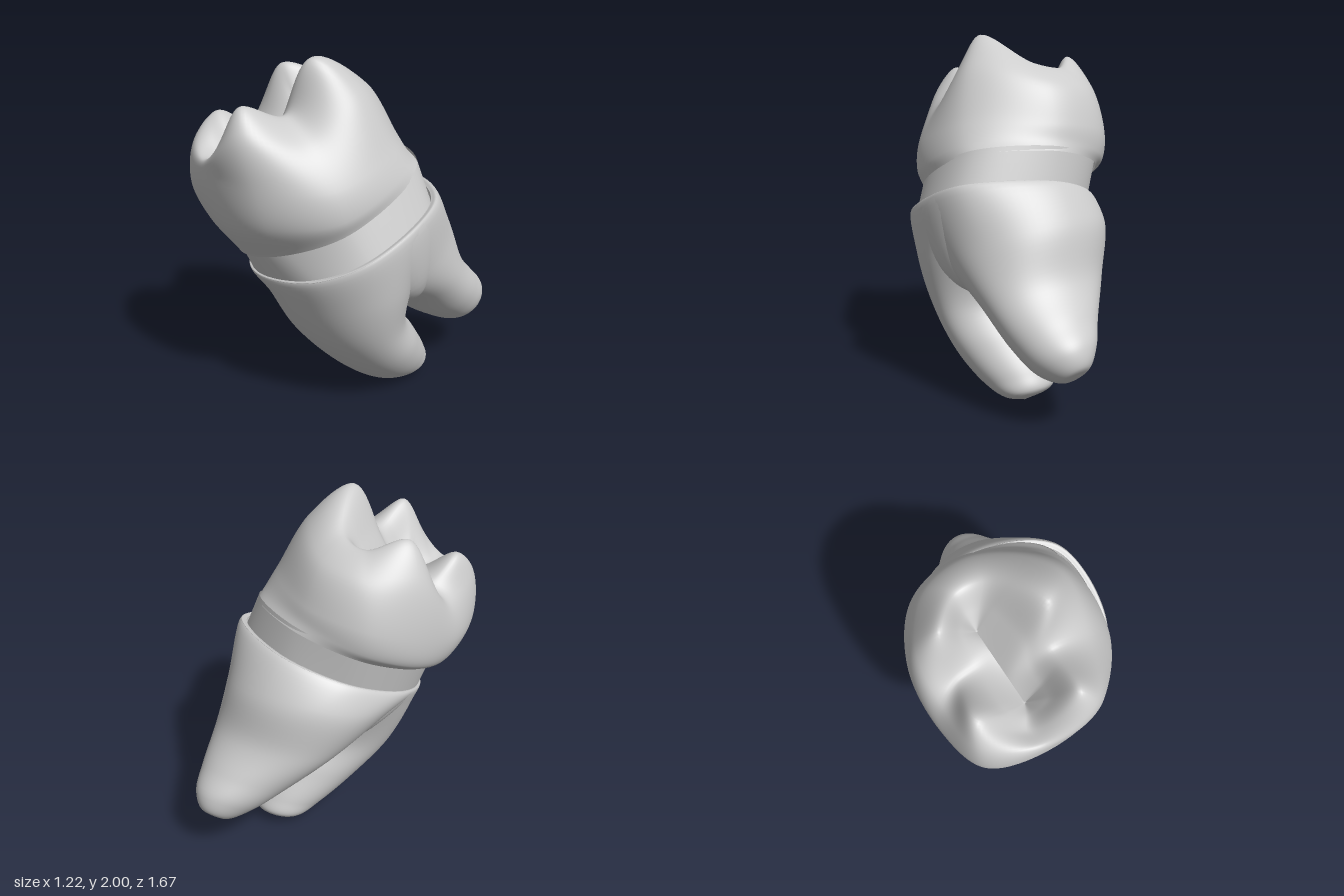
import * as THREE from 'three';
import { mergeVertices } from 'three/addons/utils/BufferGeometryUtils.js';

const V = (x, y, z) => new THREE.Vector3(x, y, z);
const AROUND = 126;

// Closed smooth ring through a few stations; all rings share the same station order:
// right groove, front right cusp, front ridge, front left cusp, left groove,
// back left cusp, back ridge, back shoulder, tall cusp
function ring(points) {
  const curve = new THREE.CatmullRomCurve3(points.map(p => V(...p)), true, 'centripetal');
  return Array.from({ length: AROUND }, (_, i) => curve.getPoint(i / AROUND));
}

// Ring lying on a tilted plane y = a + 0.2x + c z
const planeRing = (xz, a, c) => ring(xz.map(([x, z]) => [x, a + 0.2 * x + c * z, z]));

// Skin through rings given from bottom to top (or outside to inside)
function loft(rings, steps) {
  const rows = steps * (rings.length - 1);
  const positions = new Float32Array((rows + 1) * AROUND * 3);
  const index = [];
  for (let j = 0; j < AROUND; j++) {
    const column = new THREE.CatmullRomCurve3(rings.map(r => r[j]), false, 'centripetal');
    for (let i = 0; i <= rows; i++) {
      column.getPoint(i / rows).toArray(positions, (i * AROUND + j) * 3);
      if (i === rows) continue;
      const a = i * AROUND + j, b = i * AROUND + (j + 1) % AROUND;
      index.push(a, a + AROUND, b, b, a + AROUND, b + AROUND);
    }
  }
  const geometry = new THREE.BufferGeometry();
  geometry.setAttribute('position', new THREE.BufferAttribute(positions, 3));
  geometry.setIndex(index);
  const merged = mergeVertices(geometry, 1e-5);
  merged.computeVertexNormals();
  return merged;
}

// Shrink a ring towards its centre, with a lift
function inset(r, scale, lift) {
  const c = r.reduce((s, p) => s.add(p), V(0, 0, 0)).divideScalar(r.length);
  return r.map(p => p.clone().sub(c).multiplyScalar(scale).add(c).add(V(0, lift, 0)));
}

// Ring between two others, swollen away from the crown's axis
function between(r1, r2, t, swell, lift) {
  return r1.map((p, i) => {
    const out = V(p.x + 0.05, 0, p.z - 0.25).setLength(swell);
    return p.clone().lerp(r2[i], t).add(out).add(V(0, lift, 0));
  });
}

export function createModel() {
  const group = new THREE.Group();
  const enamel = new THREE.MeshStandardMaterial({ color: 0xcccccc });
  enamel.name = 'pale grey';
  enamel.side = THREE.DoubleSide;
  const add = (name, geometry) => {
    const mesh = new THREE.Mesh(geometry, enamel);
    mesh.name = name;
    group.add(mesh);
  };

  // Crown: margin, lower wall, widest line, upper wall, cusp crest, inner slopes, fissure
  const margin = planeRing([[0.43, 0.42], [0.14, 0.62], [-0.16, 0.64], [-0.37, 0.51], [-0.47, 0.28],
    [-0.46, 0.02], [-0.3, -0.24], [0.05, -0.31], [0.45, -0.08]], 1.255, -0.43);
  const lower = ring([[0.44, 1.24, 0.46], [0.15, 1.19, 0.73], [-0.18, 1.14, 0.76], [-0.47, 1.09, 0.61],
    [-0.56, 1.1, 0.32], [-0.53, 1.2, 0.01], [-0.33, 1.35, -0.25], [0.03, 1.45, -0.285], [0.44, 1.43, -0.02]]);
  const bulge = ring([[0.4, 1.4, 0.49], [0.12, 1.42, 0.78], [-0.22, 1.4, 0.81], [-0.54, 1.27, 0.67],
    [-0.61, 1.24, 0.36], [-0.56, 1.36, 0.01], [-0.35, 1.48, -0.24], [0.01, 1.54, -0.26], [0.4, 1.54, 0.05]]);
  const crest = ring([[0.02, 1.72, 0.47], [-0.03, 1.8, 0.73], [-0.27, 1.47, 0.69], [-0.48, 1.66, 0.52],
    [-0.43, 1.54, 0.28], [-0.4, 1.87, 0.12], [-0.22, 1.82, -0.02], [-0.06, 1.85, 0.02], [0.075, 2, 0.34]]);
  const upper = between(bulge, crest, 0.55, 0.05, 0.045);
  const fissure = crest.map(p => {
    const z = THREE.MathUtils.clamp(p.z, 0.14, 0.55);
    return V(-0.2, 1.64 - 0.35 * z, z);
  });
  const slope = between(crest, fissure, 0.55, 0, 0.01);
  add('crown', loft([margin, lower, bulge, upper, crest, slope, fissure], 10));

  // Neck band between crown and roots
  const rim = planeRing([[0.55, 0.36], [0.33, 0.56], [-0.1, 0.58], [-0.31, 0.48], [-0.42, 0.26],
    [-0.41, 0], [-0.25, -0.26], [0.1, -0.36], [0.55, -0.12]], 1.075, -0.42);
  add('neckBand', loft([inset(rim, 0.95, -0.03), inset(margin, 0.985, 0.03)], 6));

  // Roots: tilted ellipses [cx, cy, cz, rx, rz, tilt] from the tip up to the shared rim
  const centre = V(0.06, 0, 0.12);
  const angles = rim.map(p => Math.atan2((p.z - centre.z) / 0.47, (p.x - centre.x) / 0.52));
  const ellipse = ([cx, cy, cz, rx, rz, tilt]) => angles.map(t =>
    V(cx + rx * Math.cos(t), cy + rz * Math.sin(t) * tilt, cz + rz * Math.sin(t)));
  const root = sections => loft([...sections.map(ellipse), rim, inset(rim, 0.95, 0)], 8);

  add('frontRoot', root([
    [0.22, 0.005, -0.26, 0, 0, 0],
    [0.21, 0.06, -0.28, 0.14, 0.115, -0.42],
    [0.2, 0.13, -0.18, 0.21, 0.18, -0.4],
    [0.17, 0.29, -0.02, 0.31, 0.22, -0.41],
    [0.12, 0.5, 0.14, 0.4, 0.26, -0.28],
    [0.09, 0.8, 0.17, 0.49, 0.37, -0.31],
  ]));
  add('backRoot', root([
    [0.3, 0.325, -0.785, 0, 0, 0],
    [0.3, 0.33, -0.77, 0.08, 0.06, -1],
    [0.29, 0.38, -0.69, 0.17, 0.125, -0.87],
    [0.25, 0.48, -0.55, 0.26, 0.17, -0.7],
    [0.17, 0.66, -0.34, 0.38, 0.25, -0.42],
    [0.1, 0.87, -0.11, 0.48, 0.4, -0.42],
  ]));
  // Trunk filling the fork between the roots
  add('rootTrunk', root([
    [0.14, 0.6, -0.08, 0, 0, 0],
    [0.14, 0.64, -0.08, 0.32, 0.1, -0.35],
    [0.11, 0.79, -0.01, 0.46, 0.3, -0.35],
  ]));
  return group;
}
